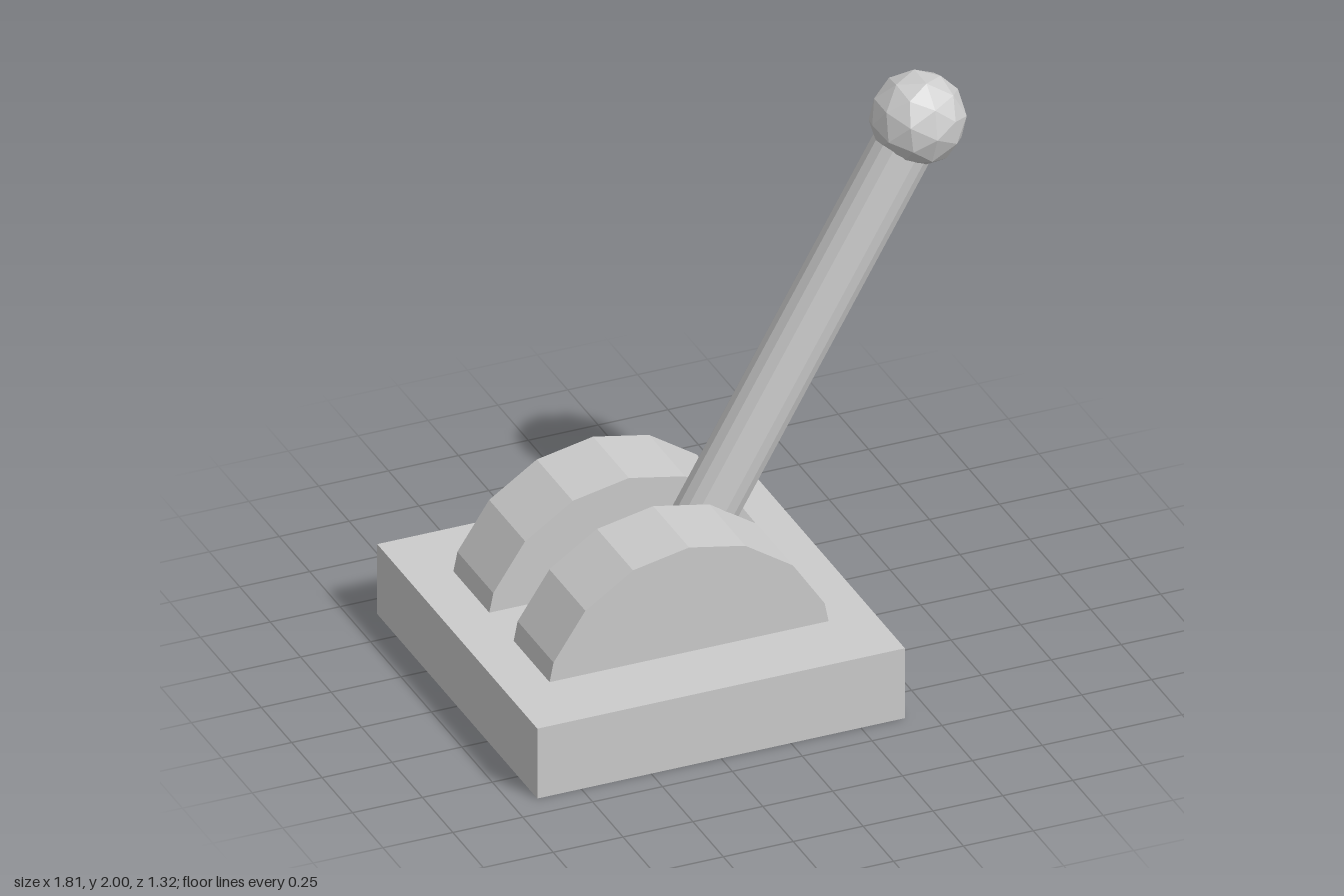
import * as THREE from 'three';

export function createModel() {
  const model = new THREE.Group();
  model.name = 'leverSwitch';
  const material = new THREE.MeshStandardMaterial({ color: 0xcccccc, flatShading: true });

  const add = (name, geometry, parent = model) => {
    const mesh = new THREE.Mesh(geometry, material);
    mesh.name = name;
    parent.add(mesh);
    return mesh;
  };

  // Pivot shared by the cheeks and the lever
  const pivotX = -0.25, pivotY = 0.135;

  // Base plate
  const baseHeight = 0.265;
  add('base', new THREE.BoxGeometry(1.315, baseHeight, 1.315))
    .position.set(pivotX, baseHeight / 2, 0);

  // Two half-round cheeks with a slot between them, sunk into the base
  const cheekRadius = 0.525, cheekDepth = 0.295;
  const arc = [];
  for (let i = 0; i <= 8; i++) {
    const a = (i / 8) * Math.PI;
    arc.push(new THREE.Vector2(Math.cos(a) * cheekRadius, Math.sin(a) * cheekRadius));
  }
  const cheek = new THREE.ExtrudeGeometry(new THREE.Shape(arc), { depth: cheekDepth, bevelEnabled: false });
  cheek.translate(0, 0, -cheekDepth / 2);
  for (const [name, side] of [['frontCheek', 1], ['backCheek', -1]]) {
    add(name, cheek).position.set(pivotX, pivotY, side * (0.1 + cheekDepth / 2));
  }

  // Lever tilted 30 degrees towards +x, with its rod rising from the pivot
  const lever = new THREE.Group();
  lever.name = 'lever';
  lever.position.set(pivotX, pivotY, 0);
  lever.rotation.z = -Math.PI / 6;
  model.add(lever);

  const length = 1.98;
  add('rod', new THREE.CylinderGeometry(0.105, 0.105, length, 16), lever).position.y = length / 2;

  // Faceted knob, turned so that one of its corners points along the rod
  const knob = add('knob', new THREE.IcosahedronGeometry(0.163, 1), lever);
  knob.position.y = length;
  knob.rotation.z = -Math.atan((Math.sqrt(5) - 1) / 2);

  return model;
}
